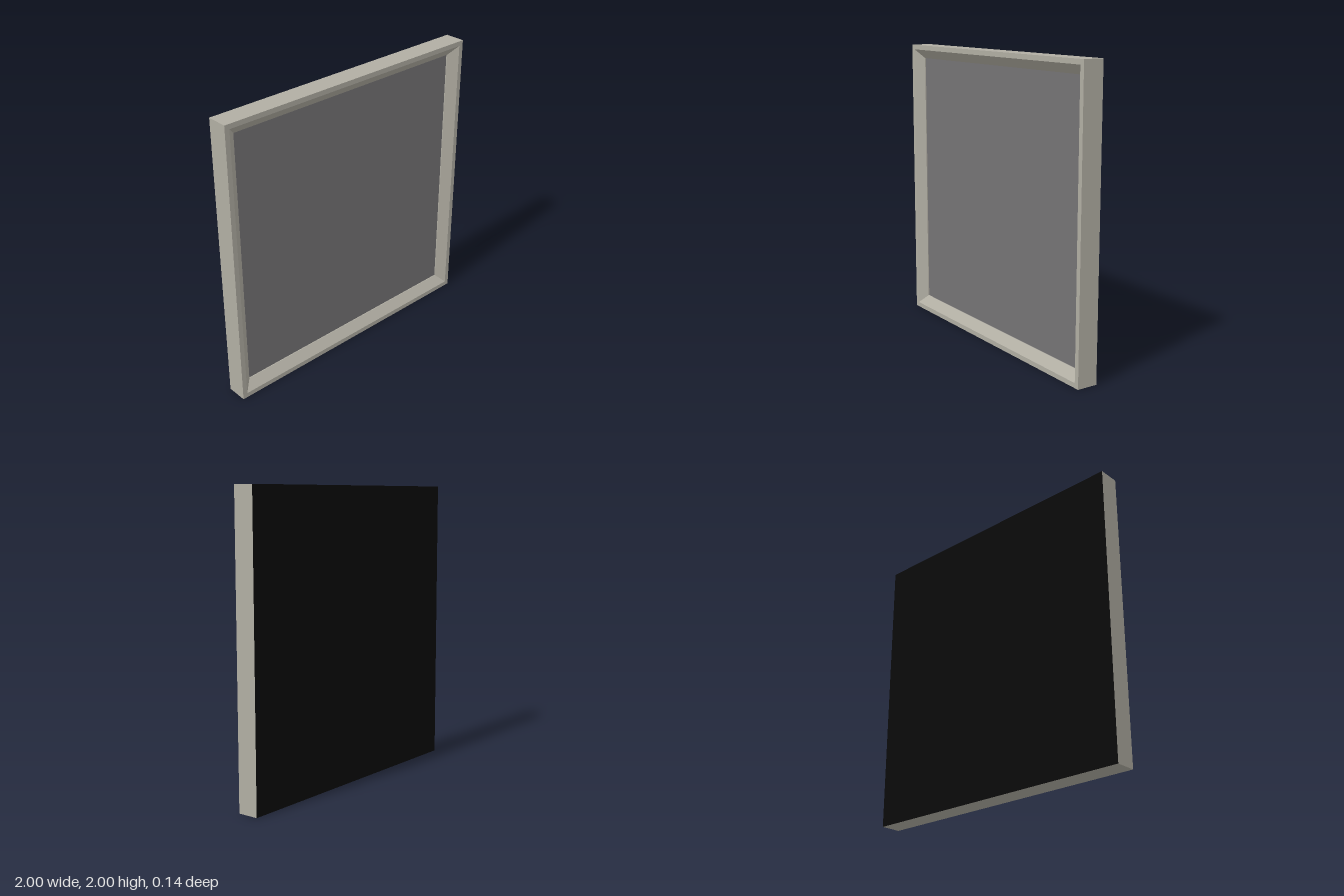
import * as THREE from 'three';

const DEPTH = 0.144;
const HALF = DEPTH / 2;
const INNER = 0.905;
const PANEL_Z = 0.014;

export function createModel() {
  const frameMat = new THREE.MeshStandardMaterial({ name: 'warmGreyFrame', color: 0xb1aea3 });
  const panelMat = new THREE.MeshStandardMaterial({ name: 'darkGreyPanel', color: 0x757375 });
  const backMat = new THREE.MeshStandardMaterial({ name: 'blackBacking', color: 0x0a0a0a });

  const model = new THREE.Group();
  model.name = 'framedPanel';

  const add = (name, geometry, material, z = 0) => {
    const mesh = new THREE.Mesh(geometry, material);
    mesh.name = name;
    mesh.position.set(0, 1, z);
    model.add(mesh);
    return mesh;
  };

  // Mitred frame: outer side, flat rim, sloping bevel and a small inner step,
  // swept around four sides as [half width, z]
  const profile = [[1, -HALF], [1, HALF], [0.967, HALF], [INNER, 0.02], [INNER, PANEL_Z]]
    .map(([half, z]) => new THREE.Vector2(half * Math.SQRT2, z));
  const frame = new THREE.LatheGeometry(profile, 4, Math.PI / 4)
    .rotateX(Math.PI / 2)
    .toNonIndexed();
  frame.computeVertexNormals();
  add('frame', frame, frameMat);

  // Recessed front panel
  add('panel', new THREE.PlaneGeometry(INNER * 2, INNER * 2), panelMat, PANEL_Z);

  // Flat backing that closes the rear
  add('backing', new THREE.PlaneGeometry(2, 2).rotateY(Math.PI), backMat, -HALF);

  return model;
}
